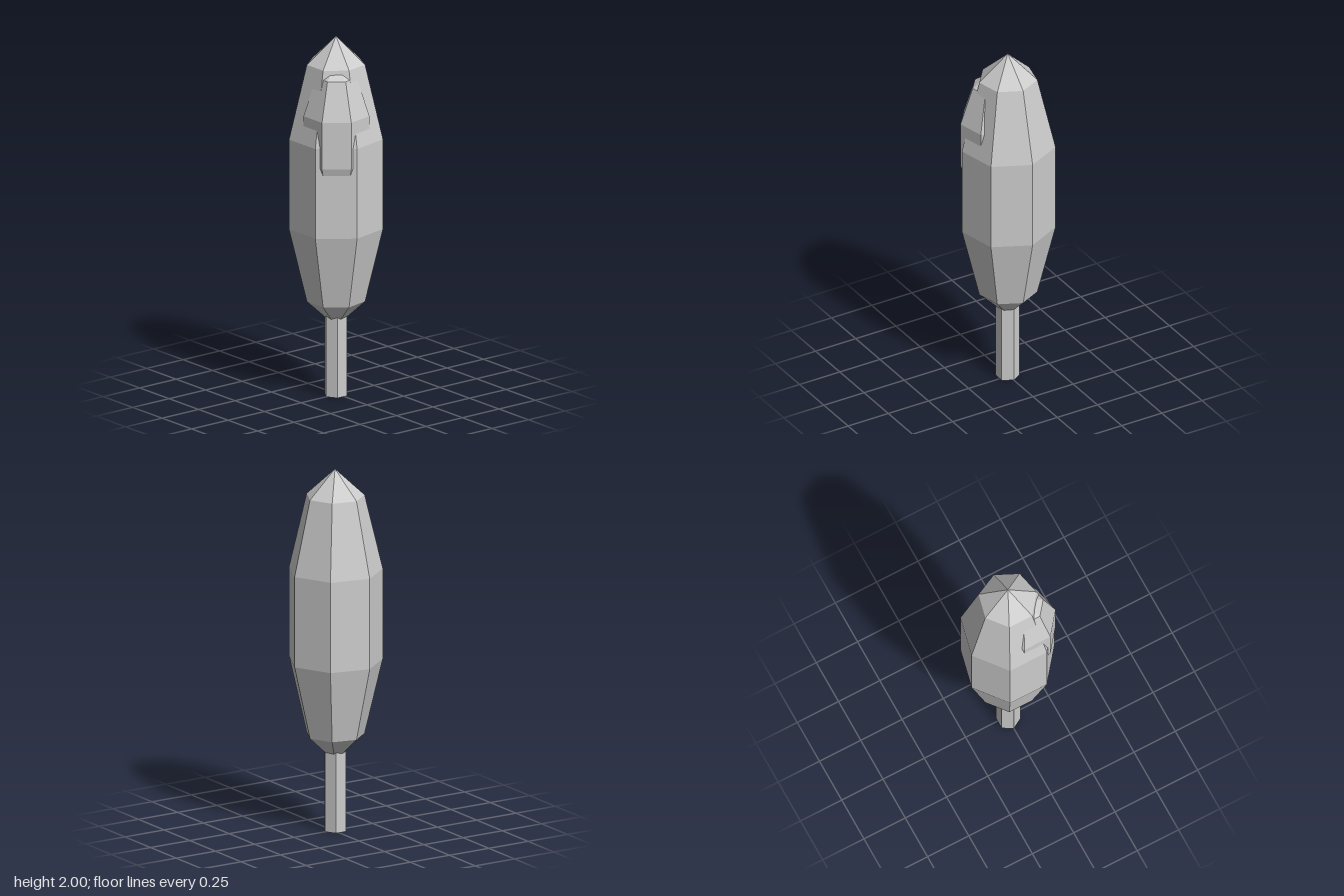
import * as THREE from 'three';

export function createModel() {
  const tree = new THREE.Group();
  tree.name = 'tree';

  const grey = new THREE.MeshStandardMaterial({ color: 0xcccccc });
  grey.name = 'plain grey';
  grey.flatShading = true;

  // Seven-sided leaf clump, pointed at both ends; heights run from bottom tip to top tip
  function addClump(name, x, z, radius, heights) {
    const widths = [0, 0.62, 1, 1, 0.62, 0];
    const profile = heights.map((y, i) => new THREE.Vector2(widths[i] * radius, y));
    const mesh = new THREE.Mesh(new THREE.LatheGeometry(profile, 7, Math.PI), grey);
    mesh.name = name;
    mesh.position.set(x, 0, z);
    tree.add(mesh);
  }

  addClump('crown', 0, 0.011, 0.257, [0.38, 0.53, 0.94, 1.44, 1.85, 2]);
  addClump('sideClump', 0.065, 0.06, 0.18, [1.04, 1.12, 1.33, 1.59, 1.8, 1.88]);

  // Six-sided trunk, reaching a little way into the crown
  const trunk = new THREE.Mesh(new THREE.CylinderGeometry(0.065, 0.065, 0.5, 6), grey);
  trunk.name = 'trunk';
  trunk.position.set(0, 0.25, 0.013);
  tree.add(trunk);

  return tree;
}
